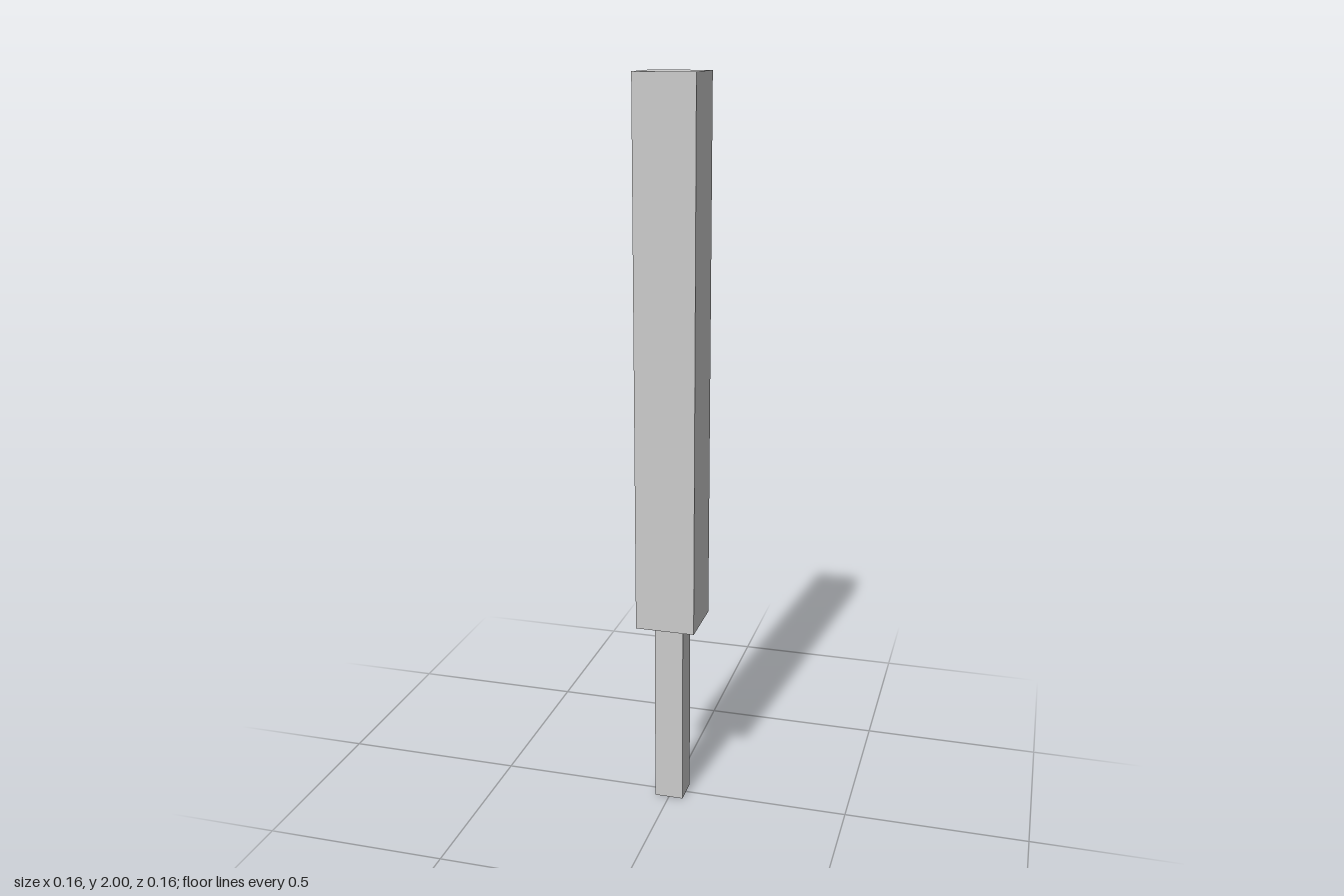
import * as THREE from 'three';

export function createModel() {
  const group = new THREE.Group();
  const material = new THREE.MeshStandardMaterial({ color: 0xcccccc, flatShading: true });

  // Square bar standing between two heights
  const bar = (name, width, bottom, top) => {
    const mesh = new THREE.Mesh(new THREE.BoxGeometry(width, top - bottom, width), material);
    mesh.position.y = (bottom + top) / 2;
    mesh.name = name;
    group.add(mesh);
  };

  bar('handle', 0.08, 0, 0.533); // slim lower grip
  bar('body', 0.163, 0.533, 2); // thick upper block
  return group;
}
